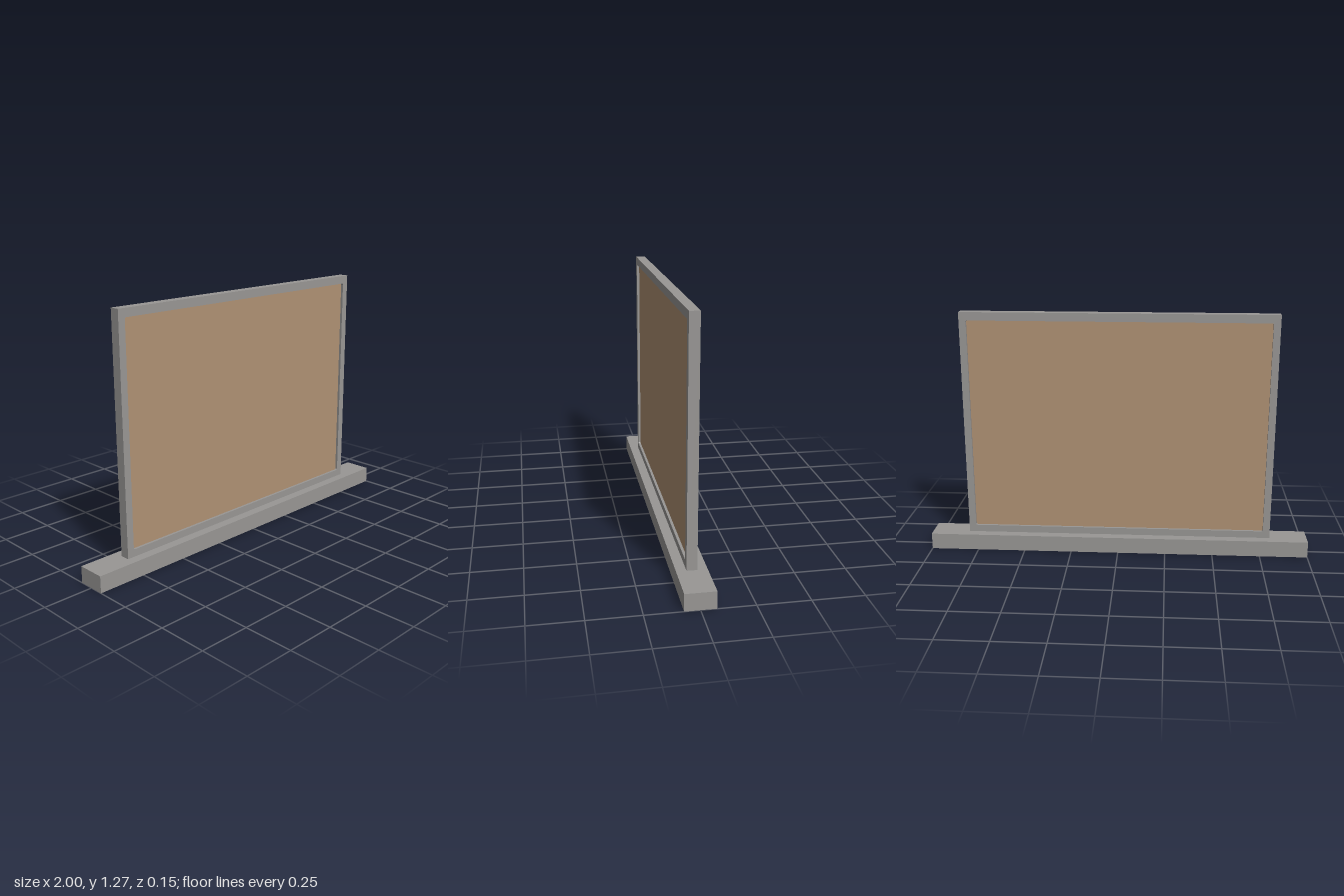
import * as THREE from 'three';

export function createModel() {
  const model = new THREE.Group();
  const metal = new THREE.MeshStandardMaterial({ name: 'grey metal', color: 0x999795 });
  const cork = new THREE.MeshStandardMaterial({ name: 'tan panel', color: 0xb09274 });

  function add(name, geometry, material, y) {
    const mesh = new THREE.Mesh(geometry, material);
    mesh.name = name;
    mesh.position.y = y;
    model.add(mesh);
  }

  // Long foot bar
  add('base', new THREE.BoxGeometry(2, 0.085, 0.146), metal, 0.0425);

  // Upright frame with a slightly rounded opening
  const outer = new THREE.Shape([[-0.803, 0.085], [0.803, 0.085], [0.803, 1.272], [-0.803, 1.272]]
    .map(([x, y]) => new THREE.Vector2(x, y)));
  const w = 0.767, y0 = 0.122, y1 = 1.23, r = 0.008;
  const hole = new THREE.Path();
  hole.absarc(w - r, y1 - r, r, 0, Math.PI / 2);
  hole.absarc(-w + r, y1 - r, r, Math.PI / 2, Math.PI);
  hole.absarc(-w + r, y0 + r, r, Math.PI, Math.PI * 1.5);
  hole.absarc(w - r, y0 + r, r, Math.PI * 1.5, Math.PI * 2);
  hole.closePath();
  outer.holes.push(hole);
  const frame = new THREE.ExtrudeGeometry(outer, { depth: 0.05, bevelEnabled: false, curveSegments: 4 });
  frame.translate(0, 0, -0.025);
  add('frame', frame, metal, 0);

  // Board recessed on both faces, its edges tucked into the frame
  add('panel', new THREE.BoxGeometry(2 * w + 0.01, y1 - y0 + 0.01, 0.024), cork, (y0 + y1) / 2);

  return model;
}
